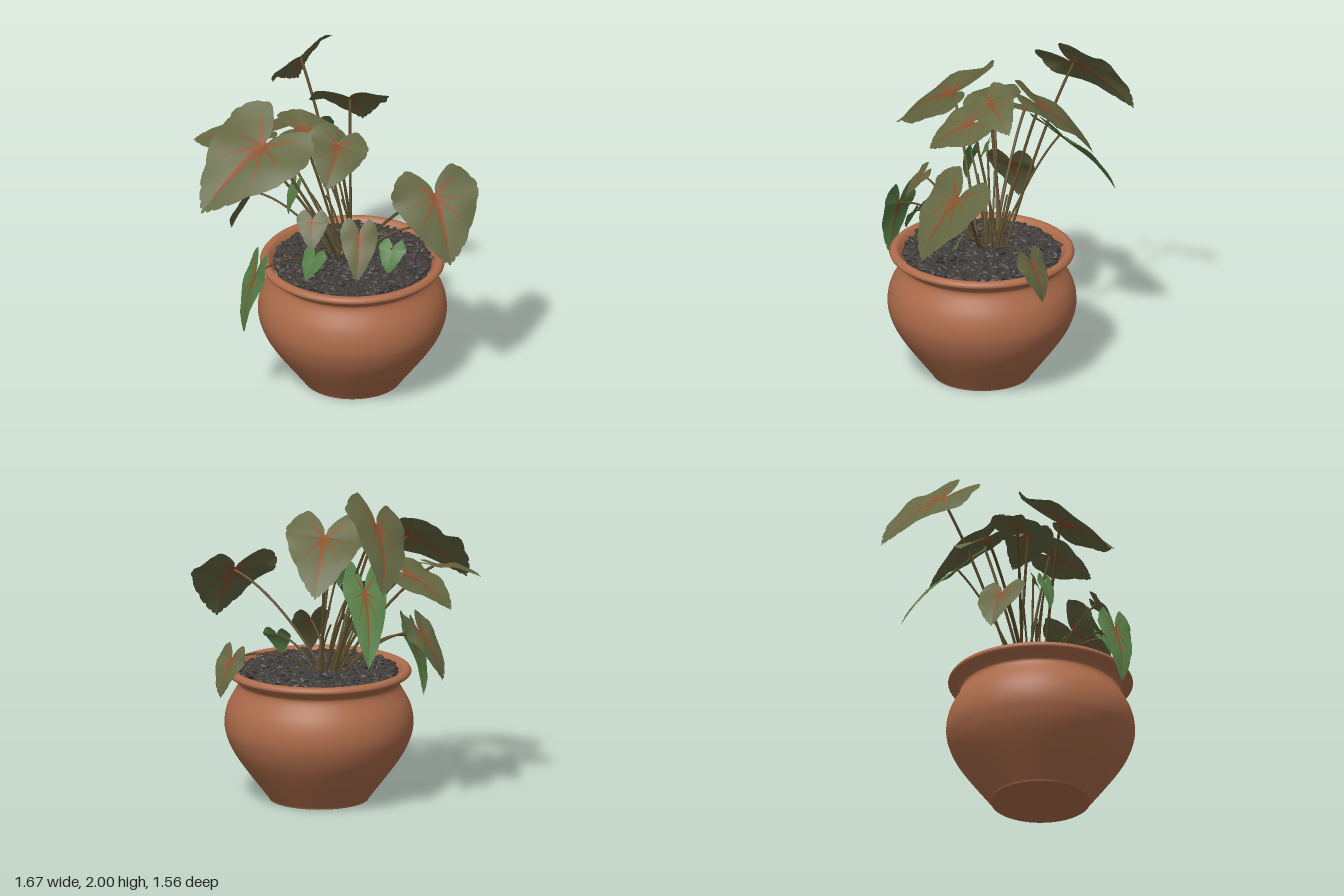
import * as THREE from 'three';
import { mergeGeometries } from 'three/addons/utils/BufferGeometryUtils.js';

const V = (a) => new THREE.Vector3(...a);
const mat = (name, color, side = THREE.FrontSide) => {
  const m = new THREE.MeshStandardMaterial({ color, side });
  m.name = name;
  return m;
};
const POT = [0.11, 0, 0.22];

// small seeded random numbers
let seed = 7;
const rnd = () => (seed = (seed * 16807) % 2147483647) / 2147483647;

// half of the heart outline: along the midrib, across it
const HALF = [[1, 0], [0.92, 0.08], [0.7, 0.23], [0.1, 0.48], [-0.15, 0.49], [-0.42, 0.27], [-0.18, 0.04], [0, 0]];
const outline = new THREE.CatmullRomCurve3(HALF.map(([a, s]) => new THREE.Vector3(a, s, 0)), false, 'centripetal');

// returns a function placing leaf coordinates (a, s, lift) in space;
// the blade lies level across its midrib unless tilted
function leafSurface(base, tip, width, tilt, wave) {
  const axis = tip.clone().sub(base), len = axis.length();
  const dir = axis.clone().normalize();
  const across = new THREE.Vector3(axis.z, 0, -axis.x).setLength(Math.cos(tilt));
  across.y = Math.sin(tilt);
  across.addScaledVector(dir, -across.dot(dir)).setLength(width);
  const n = dir.clone().cross(across).normalize();
  if (n.y < 0) n.negate();
  return (a, s, lift = 0) => {
    const arch = len * 0.26 * a * (1 - a) * (a < 0 ? 0.25 : 1);
    const fold = width * (0.12 * Math.abs(s) - 0.25 * s * s);
    const ruffle = width * 0.14 * s * s * Math.sin(a * 9 + wave + s * 4);
    return base.clone().addScaledVector(axis, a).addScaledVector(across, s)
      .addScaledVector(n, arch + fold + ruffle + lift);
  };
}

function gridGeometry(rows) {
  const pos = [], idx = [], m = rows[0].length;
  rows.forEach((row) => row.forEach((p) => pos.push(p.x, p.y, p.z)));
  for (let i = 0; i < rows.length - 1; i++) {
    for (let j = 0; j < m - 1; j++) {
      const k = i * m + j;
      idx.push(k, k + m, k + 1, k + 1, k + m, k + m + 1);
    }
  }
  const g = new THREE.BufferGeometry();
  g.setAttribute('position', new THREE.Float32BufferAttribute(pos, 3));
  g.setIndex(idx);
  g.computeVertexNormals();
  return g;
}

// heart blade: rings growing from the stalk joint to a nicked margin
function bladeGeometry(place) {
  const rim = outline.getPoints(44);
  const pts = [...rim.map((p) => [p.x, -p.y]).reverse(), ...rim.slice(1).map((p) => [p.x, p.y])];
  const rows = [];
  for (let i = 0; i <= 7; i++) {
    rows.push(pts.map(([a, s], j) => {
      const t = (i / 7) * (i === 7 && j % 4 === 2 ? 0.97 : 1);
      return place(a * t, s * t);
    }));
  }
  return gridGeometry(rows);
}

// tapered vein strips just above and below the blade: end along, end across, half width
const VEINS = [[0.8, 0, 0.045], [0.42, 0.23, 0.025], [0.1, 0.3, 0.022], [-0.25, 0.25, 0.028]];
function veinGeometry(place) {
  const strips = [];
  for (const [a, reach, w] of VEINS) {
    for (const s of reach ? [reach, -reach] : [0]) {
      const l = Math.hypot(a, s);
      for (const lift of [0.004, -0.004]) {
        const rows = [];
        for (let i = 0; i <= 12; i++) {
          const t = i / 12, h = w * (1 - 0.8 * t) * (i % 2 ? 1.15 : 0.85) / l;
          rows.push([-1, 0, 1].map((k) => place(a * t - s * h * k, s * t + a * h * k, lift)));
        }
        strips.push(gridGeometry(rows));
      }
    }
  }
  return mergeGeometries(strips);
}

// each leaf: stalk joint, tip, width, tilt
const LARGE = [
  [[-0.42, 1.58, 0.26], [-0.8, 1.26, 0.5], 0.64, -0.36],
  [[-0.17, 1.81, -0.41], [-0.17, 1.48, -0.78], 0.45, -0.8],
  [[0.11, 1.68, -0.13], [0.2, 1.38, -0.44], 0.47, -0.15],
  [[-0.2, 1.6, 0.1], [0.1, 1.5, 0.05], 0.31, 0.4],
  [[0.02, 1.57, 0.26], [-0.06, 1.4, 0.5], 0.37, -0.45],
  [[-0.37, 1.45, -0.16], [-0.62, 1.28, -0.37], 0.43],
  [[-0.56, 1.47, -0.02], [-0.82, 1.42, -0.14], 0.34, -0.2],
  [[0.59, 1.34, 0.49], [0.67, 1, 0.73], 0.54],
];
const SMALL = [
  [[-0.46, 1.08, -0.1], [-0.59, 0.8, -0.18], 0.3],
  [[0.65, 0.9, 0.05], [0.72, 0.68, 0], 0.23],
  [[0.14, 1.04, 0.42], [0.12, 0.82, 0.57], 0.23, -0.4],
  [[-0.14, 1.2, 0.52], [-0.15, 1.06, 0.62], 0.19],
];
const GREEN = [
  [[-0.11, 1.38, -0.31], [-0.1, 1, -0.65], 0.27, -0.4],
  [[-0.48, 0.88, 0.58], [-0.55, 0.51, 0.61], 0.22],
  [[0.34, 0.95, 0.42], [0.31, 0.82, 0.48], 0.17],
  [[-0.13, 0.98, 0.56], [-0.18, 0.85, 0.61], 0.17],
  [[-0.23, 1.27, 0.2], [-0.27, 1.09, 0.22], 0.11],
  [[0, 1.41, 0.16], [-0.01, 1.29, 0.2], 0.11],
];

export function createModel() {
  const model = new THREE.Group();
  const terracotta = mat('terracotta', 0xac6b4a);
  const gravel = mat('darkGravel', 0x403c3a);
  const olive = mat('oliveLeaf', 0x636742, THREE.DoubleSide);
  const green = mat('greenLeaf', 0x547b45, THREE.DoubleSide);
  const rust = mat('rustVein', 0x8a4f2a, THREE.DoubleSide);
  const stalkBrown = mat('stalkBrown', 0x5d4e2d);
  const add = (name, geo, material, parent = model) => {
    const m = new THREE.Mesh(geo, material);
    m.name = name;
    parent.add(m);
    return m;
  };

  // pot: smooth belly, flared rim and flat foot, as radius and height
  const profile = [[0.3, 0.01], [0.48, 0.25], [0.546, 0.38], [0.561, 0.48], [0.54, 0.58], [0.482, 0.69],
    [0.492, 0.73], [0.547, 0.77], [0.535, 0.8], [0.5, 0.798], [0.462, 0.74]];
  const body = new THREE.SplineCurve(profile.map((p) => new THREE.Vector2(...p)));
  add('pot', new THREE.LatheGeometry(body.getPoints(70), 72), terracotta).position.set(...POT);
  add('potFoot', new THREE.CylinderGeometry(0.3, 0.295, 0.01, 72), terracotta).position.set(POT[0], 0.005, POT[2]);

  // bed of dark pebbles
  add('soil', new THREE.CylinderGeometry(0.472, 0.46, 0.03, 48), gravel).position.set(POT[0], 0.757, POT[2]);
  const pebbles = [];
  for (let i = 0; i < 620; i++) {
    const r = 0.455 * Math.sqrt((i + 0.5) / 620), t = i * 2.39996;
    const g = new THREE.IcosahedronGeometry(1, 0);
    g.scale(0.03 + 0.018 * rnd(), 0.012 + 0.007 * rnd(), 0.016 + 0.009 * rnd());
    g.rotateZ((rnd() - 0.5) * 0.9).rotateX((rnd() - 0.5) * 0.9).rotateY(rnd() * 6.28);
    g.translate(POT[0] + r * Math.cos(t), 0.775 + 0.02 * rnd(), POT[2] + r * Math.sin(t));
    pebbles.push(g);
  }
  add('pebbles', mergeGeometries(pebbles), gravel);

  // leaves, each with blade, veins and arching stalk
  const addLeaves = (name, list, material, stalkRadius) => list.forEach(([b, t, width, tilt = 0], i) => {
    const leaf = new THREE.Group();
    leaf.name = name + (i + 1);
    model.add(leaf);
    const base = V(b);
    const place = leafSurface(base, V(t), width, tilt, i * 1.7);
    add('blade', bladeGeometry(place), material, leaf);
    // the smallest green leaves are plain
    if (width > 0.18) add('veins', veinGeometry(place), rust, leaf);
    const root = new THREE.Vector3(0.08 + (rnd() - 0.5) * 0.16, 0.77, 0.15 + (rnd() - 0.5) * 0.16);
    root.lerp(new THREE.Vector3(base.x, 0.77, base.z), 0.12);
    const mid = root.clone().lerp(base, 0.55);
    mid.y += 0.22 * Math.hypot(base.x - root.x, base.z - root.z) + 0.03;
    const curve = new THREE.QuadraticBezierCurve3(root, mid, base);
    add('stalk', new THREE.TubeGeometry(curve, 20, stalkRadius, 6), stalkBrown, leaf);
  });
  addLeaves('largeLeaf', LARGE, olive, 0.0085);
  addLeaves('smallLeaf', SMALL, olive, 0.0065);
  addLeaves('greenLeaf', GREEN, green, 0.0065);

  // short bare shoots at the crown
  for (let i = 0; i < 8; i++) {
    const t = i * 2.4, r = 0.04 + 0.03 * rnd(), h = 0.15 + 0.3 * rnd();
    const at = (x, z, spread, y) => new THREE.Vector3(x + spread * r * Math.cos(t), 0.77 + y, z + spread * r * Math.sin(t));
    const curve = new THREE.QuadraticBezierCurve3(at(0.08, 0.15, 1, 0), at(0.06, 0.13, 1.2, h * 0.6), at(-0.02, 0.1, 2, h));
    add('shoot', new THREE.TubeGeometry(curve, 10, 0.006, 6), stalkBrown);
  }
  return model;
}
